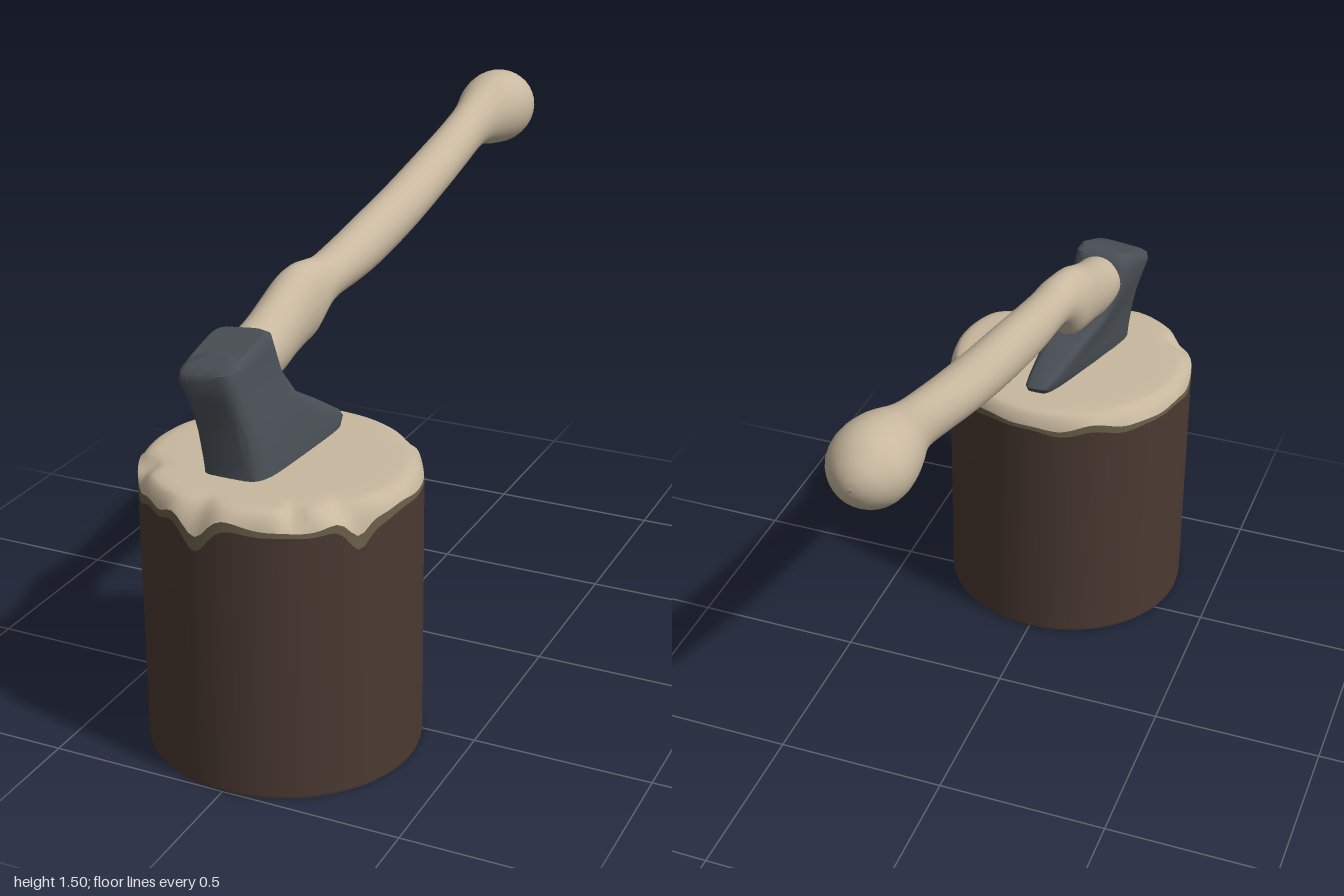
import * as THREE from 'three';
import { toCreasedNormals } from 'three/addons/utils/BufferGeometryUtils.js';

const mat = (name, color) => {
  const m = new THREE.MeshStandardMaterial({ color });
  m.name = name;
  return m;
};

// Skin a list of equal-length closed rings of [x, y, z] points
function loft(rings) {
  const n = rings[0].length, pos = [], idx = [];
  rings.forEach((ring) => ring.forEach((p) => pos.push(...p)));
  for (let i = 0; i < rings.length - 1; i++) {
    for (let j = 0; j < n; j++) {
      const a = i * n + j, b = i * n + (j + 1) % n;
      idx.push(a, b, b + n, a, b + n, a + n);
    }
  }
  const g = new THREE.BufferGeometry();
  g.setAttribute('position', new THREE.Float32BufferAttribute(pos, 3));
  g.setIndex(idx);
  g.computeVertexNormals();
  return g;
}

const ringOf = (n, f) => Array.from({ length: n }, (_, i) => f((i / n) * Math.PI * 2));

// Stump outline, angle 0 facing the front
const CZ = 0.636, SEG = 120;
const stumpPoint = (t, r, y) => [Math.sin(t) * 0.374 * r, y, CZ + Math.cos(t) * 0.364 * r];
const stumpRing = (radius, height) => ringOf(SEG, (t) => stumpPoint(t, radius(t), height(t)));

// Soft bump around an angle
const bump = (t, at, width) => {
  const d = Math.atan2(Math.sin(t - at), Math.cos(t - at)) / width;
  return Math.exp(-d * d);
};
// Ragged bark edge with a few deep drips
const barkEdge = (t) => 0.746 + 0.006 * Math.sin(9 * t) + 0.004 * Math.sin(14 * t + 1)
  - 0.058 * bump(t, -0.16, 0.13) - 0.065 * bump(t, 1.0, 0.11)
  - 0.025 * bump(t, -0.85, 0.12) - 0.02 * bump(t, -0.5, 0.1);
const woodEdge = (t) => barkEdge(t) + 0.018 + 0.006 * Math.sin(5 * t + 2)
  + 0.016 * (bump(t, -0.16, 0.2) + bump(t, 1.0, 0.15) + bump(t, -0.9, 0.3));
// Dents chopped into the rim
const dent = (t) => bump(t, 0.9, 0.12) + bump(t, 0.55, 0.08) + bump(t, -0.16, 0.13) + bump(t, -1.0, 0.14)
  + 0.35 * bump(t, 2.3, 0.2) + 0.35 * bump(t, -2.2, 0.2);

export function createModel() {
  const root = new THREE.Group();
  const bark = mat('bark brown', 0x4b3a32);
  const inner = mat('inner bark olive', 0x696049);
  const wood = mat('pale wood', 0xc8b89f);
  const steel = mat('dark steel', 0x4a5056);
  const base = mat('base black', 0x111111);
  const add = (name, geometry, material) => {
    const m = new THREE.Mesh(geometry, material);
    m.name = name;
    root.add(m);
    return m;
  };
  const k = (v) => () => v;

  // Stump: underside, bark wall, inner bark band, rounded wooden top
  add('stumpUnderside', loft([stumpRing(k(0), k(0)), stumpRing(k(0.995), k(0))]), base);
  add('stumpBark', loft([stumpRing(k(0.995), k(0)), stumpRing(k(1), k(0.01)), stumpRing(k(1), barkEdge)]), bark);
  add('innerBark', loft([
    stumpRing(k(1), barkEdge),
    stumpRing(k(0.997), woodEdge),
  ]), inner);
  add('stumpTop', loft([
    stumpRing(k(0.997), woodEdge),
    stumpRing((t) => 0.99 - 0.02 * dent(t), (t) => woodEdge(t) * 0.5 + 0.391),
    stumpRing((t) => 0.965 - 0.05 * dent(t), (t) => 0.794 - 0.012 * dent(t)),
    stumpRing((t) => 0.925 - 0.07 * dent(t), (t) => 0.804 - 0.005 * dent(t)),
    stumpRing((t) => 0.86 - 0.06 * dent(t), k(0.808)),
    stumpRing(k(0.7), k(0.808)),
    stumpRing(k(0), k(0.808)),
  ]), wood);

  // Axe head: rows of [yFront, yBack, zFront, zBack, front xMin, xMax, back xMin, xMax, roll]
  const headRows = [
    [0.79, 0.79, 0.825, 0.40, -0.150, 0.045, -0.01, 0.068, 0],
    [0.82, 0.83, 0.825, 0.37, -0.152, 0.043, -0.02, 0.068, 0],
    [0.85, 0.85, 0.828, 0.385, -0.153, 0.038, -0.03, 0.065, 0],
    [0.92, 0.92, 0.833, 0.495, -0.156, 0.026, -0.08, 0.052, 0],
    [0.97, 0.97, 0.84, 0.58, -0.160, 0.012, -0.12, 0.040, 0],
    [1.02, 1.04, 0.85, 0.625, -0.170, -0.002, -0.145, 0.020, 0.05],
    [1.07, 1.12, 0.862, 0.65, -0.183, -0.012, -0.16, 0.012, 0.1],
    [1.09, 1.147, 0.858, 0.66, -0.180, -0.015, -0.158, 0.010, 0.1],
    [1.106, 1.162, 0.838, 0.685, -0.168, -0.025, -0.15, -0.002, 0.1],
  ];
  const soft = (v) => Math.sign(v) * Math.abs(v) ** 0.38;
  const headRing = ([yf, yb, zf, zb, fl, fr, bl, br, roll], s = 1) => ringOf(40, (t) => {
    const u = (soft(Math.sin(t)) * s + 1) / 2, v = (soft(Math.cos(t)) * s + 1) / 2;
    const mix = THREE.MathUtils.lerp;
    const x = mix(mix(bl, br, u), mix(fl, fr, u), v);
    return [x, mix(yb, yf, v) + roll * (x + 0.09), mix(zb, zf, v)];
  });
  const headRings = headRows.map((r) => headRing(r));
  headRings.push(headRing(headRows.at(-1), 0));
  add('axeHead', toCreasedNormals(loft(headRings), 0.7), steel);

  // Handle: stations of [z, yTop, yBottom, xMin, xMax]
  const stations = [
    [0.72, 1.13, 1.00, -0.14, -0.01],
    [0.65, 1.15, 0.99, -0.145, 0.0],
    [0.58, 1.172, 0.988, -0.142, 0.0],
    [0.50, 1.205, 1.008, -0.14, 0.0],
    [0.43, 1.235, 1.022, -0.138, 0.002],
    [0.38, 1.245, 1.035, -0.13, 0.005],
    [0.33, 1.242, 1.09, -0.115, 0.012],
    [0.27, 1.24, 1.112, -0.105, 0.015],
    [0.13, 1.262, 1.12, -0.103, 0.024],
    [0.0, 1.287, 1.135, -0.10, 0.03],
    [-0.20, 1.322, 1.175, -0.097, 0.037],
    [-0.40, 1.365, 1.225, -0.092, 0.041],
    [-0.55, 1.405, 1.262, -0.083, 0.041],
    [-0.66, 1.437, 1.29, -0.08, 0.042],
    [-0.73, 1.462, 1.295, -0.088, 0.055],
    [-0.80, 1.488, 1.282, -0.105, 0.088],
    [-0.87, 1.497, 1.275, -0.111, 0.105],
    [-0.93, 1.483, 1.29, -0.10, 0.095],
    [-0.975, 1.448, 1.325, -0.065, 0.06],
    [-0.995, 1.415, 1.36, -0.03, 0.027],
    [-1.0, 1.388, 1.386, -0.003, 0.001],
  ];
  const curve = (f) => new THREE.CatmullRomCurve3(stations.map((s) => new THREE.Vector3(...f(s))), false, 'catmullrom', 0.5);
  const centre = curve(([z, a, b, l, r]) => [(l + r) / 2, (a + b) / 2, z]);
  const radius = curve(([z, a, b, l, r]) => [(r - l) / 2, (a - b) / 2, z]);
  const handleRings = Array.from({ length: 81 }, (_, i) => {
    const c = centre.getPoint(i / 80), r = radius.getPoint(i / 80);
    return ringOf(32, (t) => [c.x - Math.cos(t) * r.x, c.y + Math.sin(t) * r.y, c.z]);
  });
  add('axeHandle', loft(handleRings), wood);

  return root;
}
